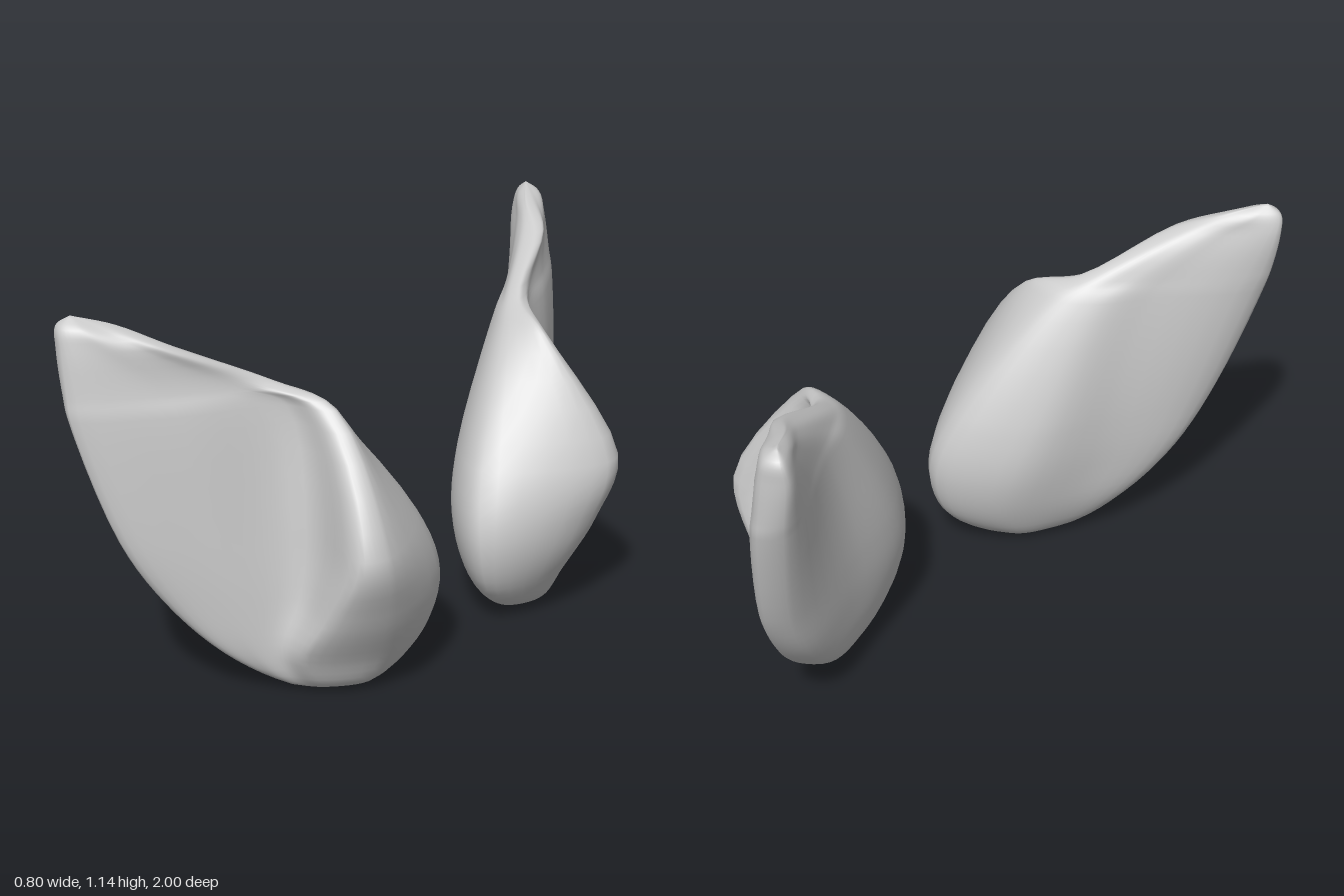
import * as THREE from 'three';

// Heights shared by all rails, top to bottom
const LEVELS = [1.11, 1.05, 0.92, 0.86, 0.5, 0.3, 0.13, 0.02];
const TOP = new THREE.Vector3(-0.35, 1.14, 0.945);
const BOTTOM = new THREE.Vector3(0.1, 0, 0.41);

// Rails running down the shell, in order around it: [x, z] at each level
const RAILS = {
  rimFront: [[-0.345, 0.985], [-0.33, 0.995], [-0.31, 1.0], [-0.3, 1.0], [-0.21, 0.92], [-0.14, 0.82], [-0.05, 0.69], [0.03, 0.54]],
  rimBack: [[-0.39, 0.96], [-0.4, 0.95], [-0.38, 0.94], [-0.365, 0.93], [-0.27, 0.85], [-0.21, 0.76], [-0.12, 0.63], [-0.01, 0.5]],
  plateBack: [[-0.35, 0.905], [-0.295, 0.835], [-0.205, 0.7], [-0.18, 0.65], [-0.15, 0.54], [-0.125, 0.5], [-0.07, 0.44], [0.01, 0.41]],
  domeBack: [[-0.32, 0.88], [-0.24, 0.785], [-0.125, 0.59], [-0.09, 0.5], [-0.05, 0.29], [-0.01, 0.22], [0.04, 0.23], [0.06, 0.32]],
  dome: [[-0.285, 0.86], [-0.19, 0.755], [-0.05, 0.515], [0.02, 0.42], [0.17, 0.155], [0.22, 0.095], [0.21, 0.14], [0.17, 0.27]],
  lobeEdge: [[-0.27, 0.855], [-0.145, 0.755], [0, 0.51], [0.16, 0.44], [0.397, 0.47], [0.365, 0.42], [0.29, 0.37], [0.215, 0.38]],
  lobeFront: [[-0.265, 0.875], [-0.14, 0.785], [-0.01, 0.55], [0.13, 0.475], [0.36, 0.56], [0.27, 0.57], [0.16, 0.565], [0.15, 0.49]],
  groove: [[-0.275, 0.905], [-0.18, 0.835], [-0.05, 0.62], [0.03, 0.51], [0.1, 0.51], [0.1, 0.54], [0.07, 0.585], [0.1, 0.525]],
  plateFront: [[-0.295, 0.95], [-0.24, 0.91], [-0.14, 0.79], [-0.11, 0.77], [-0.06, 0.74], [-0.025, 0.7], [0.01, 0.645], [0.06, 0.545]],
};

// Lofts closed rings across the rails; side is +1 or -1 along z
function shellGeometry(side) {
  const rows = 45, cols = 54;
  const rails = Object.values(RAILS).map((rail) => new THREE.CatmullRomCurve3([
    TOP, ...rail.map(([x, z], i) => new THREE.Vector3(x, LEVELS[i], z)), BOTTOM,
  ]));
  const positions = [], indices = [];
  const add = (p) => positions.push(p.x, Math.max(p.y, 0), p.z * side);
  const tri = (a, b, c) => (side > 0 ? indices.push(a, b, c) : indices.push(a, c, b));

  add(TOP);
  for (let i = 1; i < rows; i++) {
    const ring = new THREE.CatmullRomCurve3(rails.map((r) => r.getPoint(i / rows)), true);
    for (let j = 0; j < cols; j++) add(ring.getPoint(j / cols));
  }
  add(BOTTOM);

  const at = (i, j) => 1 + (i - 1) * cols + (j % cols);
  const last = 1 + (rows - 1) * cols;
  for (let j = 0; j < cols; j++) {
    tri(0, at(1, j + 1), at(1, j));
    for (let i = 1; i < rows - 1; i++) {
      tri(at(i, j), at(i, j + 1), at(i + 1, j));
      tri(at(i, j + 1), at(i + 1, j + 1), at(i + 1, j));
    }
    tri(at(rows - 1, j), at(rows - 1, j + 1), last);
  }

  const geometry = new THREE.BufferGeometry();
  geometry.setAttribute('position', new THREE.Float32BufferAttribute(positions, 3));
  geometry.setIndex(indices);
  geometry.computeVertexNormals();
  return geometry;
}

export function createModel() {
  const group = new THREE.Group();
  group.name = 'pairedLobes';
  const material = new THREE.MeshStandardMaterial({ color: 0xcccccc });
  // Mirrored pair of winged lobes
  for (const side of [1, -1]) {
    const lobe = new THREE.Mesh(shellGeometry(side), material);
    lobe.name = side > 0 ? 'frontLobe' : 'backLobe';
    group.add(lobe);
  }
  return group;
}
